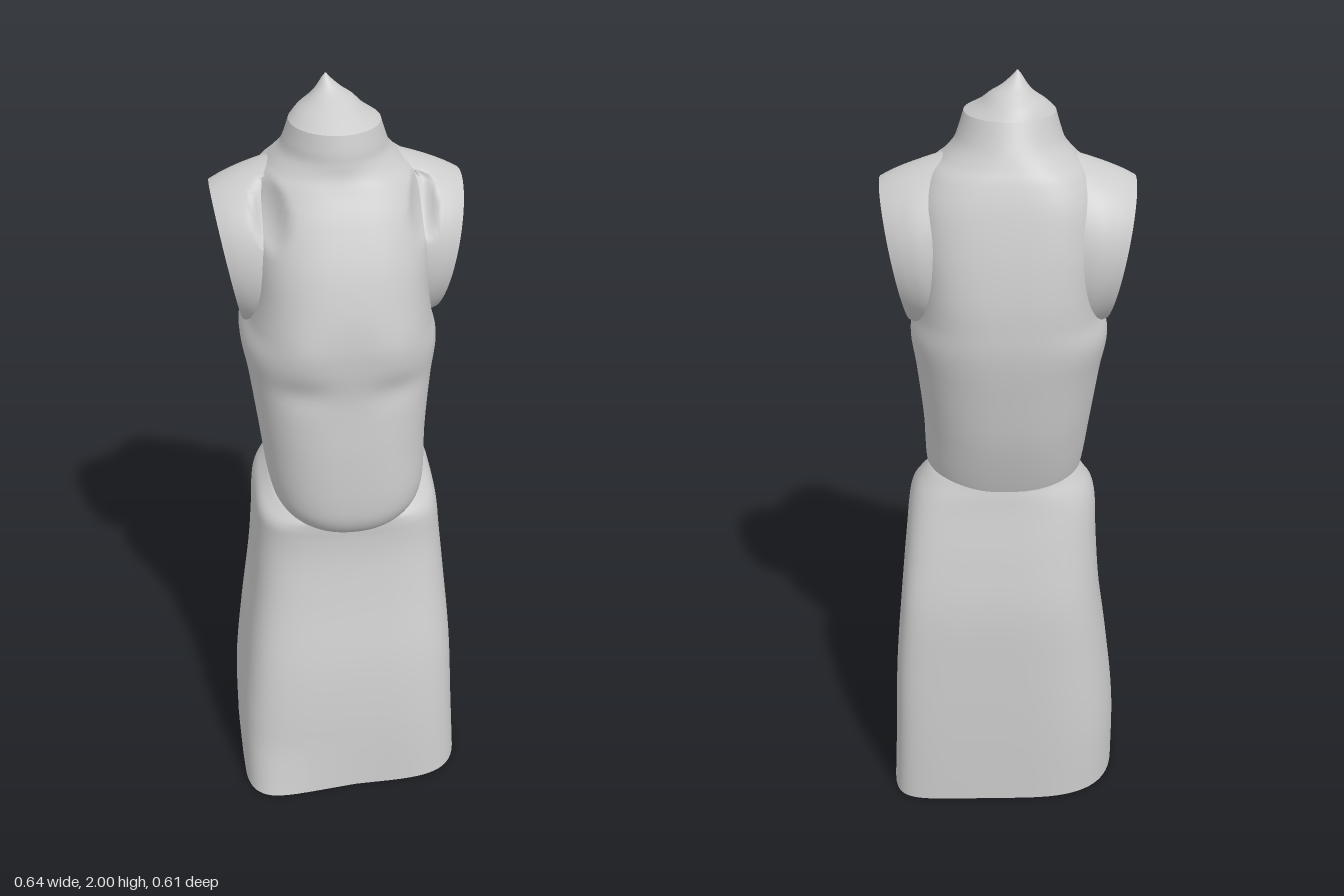
import * as THREE from 'three';

const SEG = 80;
const material = new THREE.MeshStandardMaterial({ color: 0xcccccc, roughness: 0.8 });

// Catmull-Rom blend of numeric rows, giving a denser list of rows
function smoothRows(rows, steps) {
  const out = [];
  const at = (i) => rows[Math.max(0, Math.min(rows.length - 1, i))];
  for (let i = 0; i < rows.length - 1; i++) {
    for (let s = 0; s < steps; s++) {
      const t = s / steps;
      out.push(rows[i].map((b, k) => {
        const a = at(i - 1)[k], c = at(i + 1)[k], d = at(i + 2)[k];
        return b + 0.5 * t * (c - a + t * (2 * a - 5 * b + 4 * c - d + t * (3 * (b - c) + d - a)));
      }));
    }
  }
  out.push(rows[rows.length - 1]);
  return out;
}

const power = (v, n) => Math.sign(v) * Math.pow(Math.abs(v), 2 / n);

// Horizontal ring: extents plus squareness of the front left, back left, back right, front right corners
function bodyRing([y, x0, x1, z0, z1, frontLeft, backLeft = frontLeft, backRight = backLeft, frontRight = frontLeft]) {
  return Array.from({ length: SEG }, (_, j) => {
    const t = (j / SEG) * Math.PI * 2;
    const c = Math.cos(t), s = Math.sin(t);
    const n = s >= 0 ? (c >= 0 ? frontLeft : frontRight) : (c >= 0 ? backLeft : backRight);
    return new THREE.Vector3(
      (x0 + x1) / 2 + ((x1 - x0) / 2) * power(c, n), y,
      (z0 + z1) / 2 + ((z1 - z0) / 2) * power(s, n));
  });
}

// Skin over closed rings, with optional flat ends that keep a sharp edge
function loft(name, rings, capStart, capEnd) {
  const pos = [], index = [];
  const n = rings[0].length;
  rings.forEach((r) => r.forEach((p) => pos.push(p.x, p.y, p.z)));
  for (let i = 0; i < rings.length - 1; i++) {
    for (let j = 0; j < n; j++) {
      const a = i * n + j, b = i * n + ((j + 1) % n);
      index.push(a, a + n, b, b, a + n, b + n);
    }
  }
  const cap = (ring, flip) => {
    const base = pos.length / 3;
    const c = ring.reduce((s, p) => s.add(p), new THREE.Vector3()).divideScalar(n);
    [c, ...ring].forEach((p) => pos.push(p.x, p.y, p.z));
    for (let j = 0; j < n; j++) {
      const a = base + 1 + j, b = base + 1 + ((j + 1) % n);
      index.push(base, flip ? b : a, flip ? a : b);
    }
  };
  if (capStart) cap(rings[0], false);
  if (capEnd) cap(rings[rings.length - 1], true);
  const geo = new THREE.BufferGeometry();
  geo.setAttribute('position', new THREE.Float32BufferAttribute(pos, 3));
  geo.setIndex(index);
  geo.computeVertexNormals();
  const mesh = new THREE.Mesh(geo, material);
  mesh.name = name;
  return mesh;
}

// Small hollows where the shoulders meet the chest
function pressHollows(rings) {
  rings.forEach((ring) => ring.forEach((p) => {
    if (p.z < 0) return;
    const dx = (Math.abs(p.x) - 0.185) / 0.04, dy = (p.y - 1.71) / 0.08;
    p.z -= 0.035 * Math.max(0, 1 - dx * dx - dy * dy);
  }));
  return rings;
}

// Shoulder stub: slanted oval rings running outwards, ending in a recessed armhole
function shoulder(side) {
  // [x, slant, centreY, centreZ, radiusY, radiusZ]
  const ring = ([x, slant, cy, cz, ry, rz]) => Array.from({ length: SEG }, (_, j) => {
    const t = (j / SEG) * Math.PI * 2;
    const dy = ry * Math.cos(t);
    return new THREE.Vector3(side * (x + slant * dy) - 0.01, cy + dy,
      cz - side * rz * Math.sin(t));
  });
  const rim = [0.277, 0.19, 1.56, -0.067, 0.18, 0.154];
  const sleeve = smoothRows([
    [0.06, 0, 1.58, -0.07, 0.245, 0.12],
    [0.13, 0.04, 1.575, -0.07, 0.232, 0.16],
    [0.2, 0.1, 1.568, -0.07, 0.212, 0.172],
    [0.245, 0.16, 1.563, -0.068, 0.195, 0.166],
    rim,
  ], 6);
  const hole = [
    rim,
    [0.273, 0.19, 1.56, -0.067, 0.171, 0.147],
    [0.262, 0.19, 1.56, -0.067, 0.164, 0.141],
  ];
  const group = new THREE.Group();
  group.name = side > 0 ? 'leftShoulder' : 'rightShoulder';
  group.add(loft('sleeveStub', pressHollows(sleeve.map(ring)), false, false));
  group.add(loft('armhole', hole.map(ring), false, true));
  return group;
}

export function createModel() {
  const model = new THREE.Group();
  model.name = 'dressForm';

  // Flared skirt: crisp back left and front right corners, rounder back right
  const skirt = smoothRows([
    [0, -0.315, 0.315, -0.303, 0.285, 4.4, 7.5, 3.2, 6],
    [0.2, -0.312, 0.305, -0.303, 0.272, 4.2, 8, 3.2, 5],
    [0.4, -0.29, 0.297, -0.298, 0.243, 4, 8, 3.2, 4.5],
    [0.6, -0.262, 0.28, -0.288, 0.195, 3.8, 7.5, 3.2, 4],
    [0.75, -0.25, 0.265, -0.262, 0.167, 3.6, 6, 3.1, 3.6],
    [0.88, -0.243, 0.25, -0.232, 0.165, 3.4, 4.2, 3, 3.4],
    [0.945, -0.215, 0.222, -0.218, 0.165, 3, 3.2, 2.8, 3],
    [0.99, -0.18, 0.18, -0.2, 0.15, 2.6, 2.6, 2.6, 2.6],
    [1.02, -0.1, 0.1, -0.12, 0.08, 2.2, 2.2, 2.2, 2.2],
  ], 6).map(bodyRing);
  skirt.forEach((r) => r.forEach((p) => {
    // The waist dips towards the front
    if (p.y > 0.8) p.y -= (p.y - 0.8) * 0.6 * THREE.MathUtils.smoothstep(p.z, -0.12, 0.17);
    // The hem kicks out at its front right corner
    if (p.y < 0.15 && p.z > 0.15 && p.x < 0) p.z += 0.025 * (1 - p.y / 0.15) * Math.min(1, -p.x / 0.25);
  }));
  model.add(loft('skirt', skirt, true, true));

  // Torso with a rounded belly, bust, broad upper back and neck band
  const torso = smoothRows([
    [0.825, -0.07, 0.08, -0.1, 0.14, 2.2, 2.2],
    [0.845, -0.14, 0.14, -0.15, 0.195, 2.3, 2.3],
    [0.89, -0.185, 0.185, -0.19, 0.23, 2.5, 2.5],
    [0.96, -0.208, 0.206, -0.222, 0.24, 2.7, 2.7],
    [1.1, -0.227, 0.211, -0.263, 0.237, 2.7, 2.6],
    [1.25, -0.247, 0.225, -0.288, 0.227, 2.7, 2.6],
    [1.35, -0.263, 0.237, -0.3, 0.232, 2.6, 2.7],
    [1.42, -0.243, 0.222, -0.3, 0.232, 2.7, 2.9],
    [1.5, -0.232, 0.215, -0.294, 0.22, 2.7, 3.2],
    [1.6, -0.232, 0.217, -0.277, 0.19, 2.7, 3.4],
    [1.7, -0.226, 0.211, -0.252, 0.147, 2.6, 3.4],
    [1.765, -0.205, 0.185, -0.23, 0.113, 2.5, 2.9],
    [1.8, -0.175, 0.148, -0.214, 0.097, 2.2, 2.4],
    [1.83, -0.15, 0.122, -0.2, 0.091, 2, 2.1],
    [1.86, -0.138, 0.109, -0.185, 0.087, 2, 2],
    [1.9, -0.126, 0.096, -0.165, 0.078, 2, 2],
  ], 8).map(bodyRing);
  // Two soft swells with a valley between and a faint fold beneath
  torso.forEach((r) => r.forEach((p) => {
    if (p.z < 0.08) return;
    const dx = (Math.abs(p.x + 0.01) - 0.12) / 0.07;
    p.z += 0.009 * Math.exp(-dx * dx - ((p.y - 1.39) / 0.08) ** 2);
    p.z -= 0.009 * Math.exp(-dx * dx - ((p.y - 1.28) / 0.04) ** 2);
  }));
  model.add(loft('torso', pressHollows(torso), true, false));

  model.add(shoulder(1), shoulder(-1));

  // Domed neck cap rising to a small pointed finial
  model.add(loft('neckCap', smoothRows([
    [1.9, -0.126, 0.096, -0.165, 0.078, 2],
    [1.922, -0.105, 0.06, -0.15, 0.04, 2],
    [1.945, -0.076, 0.035, -0.125, -0.005, 2],
    [1.965, -0.058, 0.006, -0.1, -0.04, 2],
    [1.99, -0.042, -0.022, -0.08, -0.062, 2],
    [2, -0.034, -0.03, -0.073, -0.069, 2],
  ], 3).map(bodyRing), false, true));

  return model;
}
